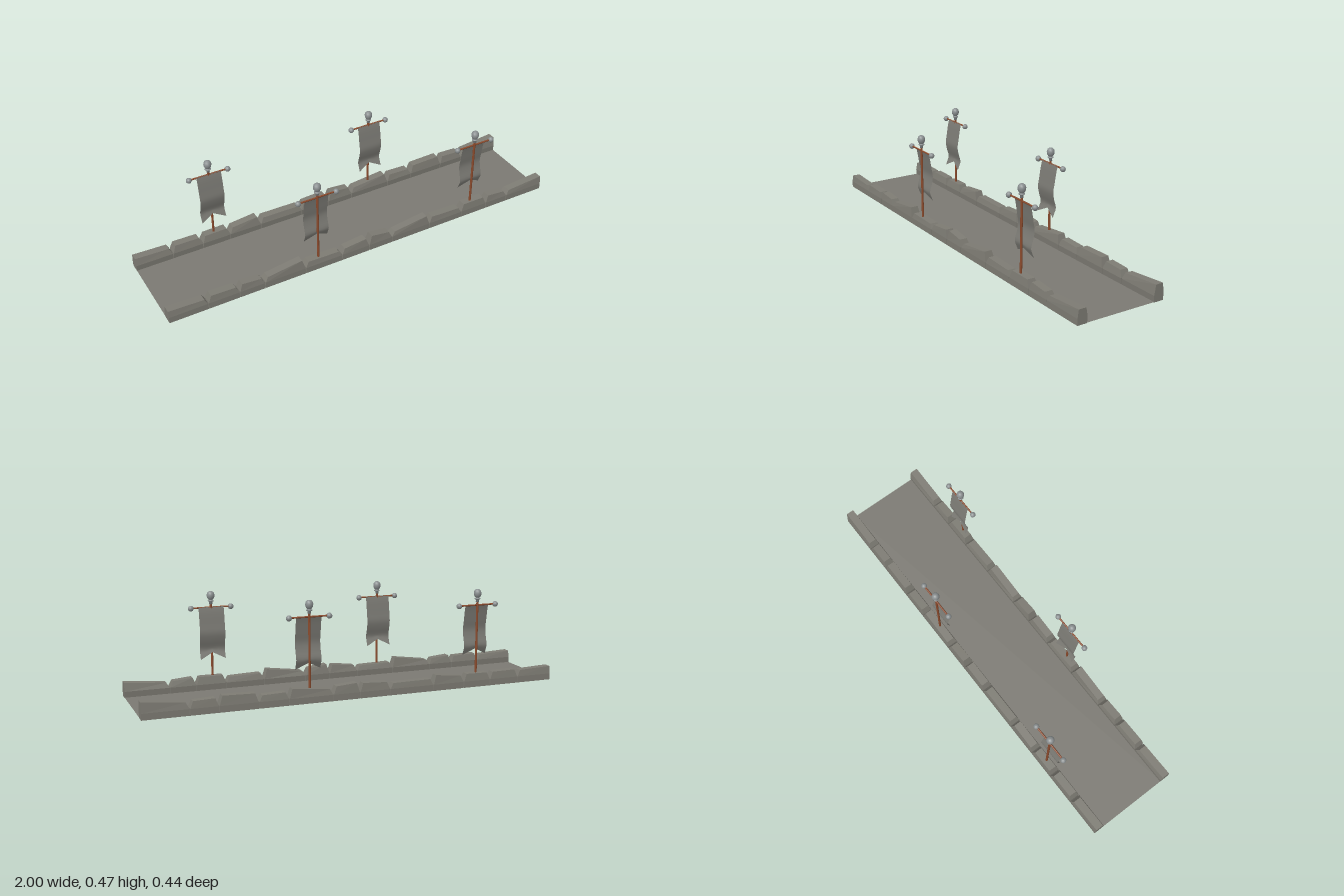
import * as THREE from 'three';

const stone = new THREE.MeshStandardMaterial({ color: 0x7d7b73, flatShading: true });
stone.name = 'stone';
const paving = new THREE.MeshStandardMaterial({ color: 0x7b7972, side: THREE.DoubleSide });
paving.name = 'paving';
const wood = new THREE.MeshStandardMaterial({ color: 0x8a4a2c, flatShading: true });
wood.name = 'wood';
const cloth = new THREE.MeshStandardMaterial({ color: 0x7b7a74, side: THREE.DoubleSide });
cloth.name = 'cloth';
const metal = new THREE.MeshStandardMaterial({ color: 0x8b9091 });
metal.name = 'metal';

function mesh(name, geometry, material, x = 0, y = 0, z = 0) {
  const m = new THREE.Mesh(geometry, material);
  m.name = name;
  m.position.set(x, y, z);
  return m;
}

// Kerb block: straight lower half, tapered upper half, top sloping from hl to hr
function kerbStone(x0, x1, hl, hr, side) {
  const geo = new THREE.BoxGeometry(1, 1, 1, 1, 2, 1);
  const p = geo.attributes.position;
  for (let i = 0; i < p.count; i++) {
    const right = p.getX(i) > 0, outer = p.getZ(i) * side > 0;
    const level = Math.round((p.getY(i) + 0.5) * 2);
    const inset = [0.001, 0.002, 0.016][level];
    const h = right ? hr : hl;
    const y = [0, 0.03, h][level];
    const zIn = [0.174, 0.172, 0.18][level], zOut = [0.222, 0.222, 0.217][level];
    // keep the outer faces of the two end stones upright
    const atEnd = Math.abs(right ? x1 : x0) > 0.99;
    const cut = atEnd ? 0 : inset;
    p.setXYZ(i, right ? x1 - cut : x0 + cut, y, side * (outer ? zOut : zIn));
  }
  geo.computeVertexNormals();
  return mesh('kerbStone', geo, stone);
}

function kerb(name, side, edges, heights) {
  const g = new THREE.Group();
  g.name = name;
  heights.forEach(([hl, hr], i) => g.add(kerbStone(edges[i], edges[i + 1], hl, hr, side)));
  return g;
}

// Hanging cloth with a rippled profile and a V cut at the bottom
function bannerCloth(dir) {
  const ripple = new THREE.CatmullRomCurve3([
    [0.393, 0.003], [0.37, 0.009], [0.31, 0.019], [0.27, 0.025], [0.235, 0.019],
    [0.193, 0.008], [0.172, 0.015], [0.148, 0.025],
  ].map(([y, z]) => new THREE.Vector3(0, y, z * dir)));
  const geo = new THREE.PlaneGeometry(0.12, 1, 4, 20);
  const p = geo.attributes.position;
  for (let i = 0; i < p.count; i++) {
    const t = 0.5 - p.getY(i);
    const notch = 0.13 * (1 - Math.abs(p.getX(i)) / 0.06) * THREE.MathUtils.smoothstep(t, 0.75, 1);
    const q = ripple.getPointAt(t - notch);
    p.setXYZ(i, p.getX(i), q.y, q.z);
  }
  geo.computeVertexNormals();
  return mesh('bannerCloth', geo, cloth);
}

// Finial with collar ring and acorn-shaped head
const finialProfile = [
  [0, 0.404], [0.008, 0.405], [0.007, 0.415], [0.014, 0.419], [0.014, 0.422], [0.007, 0.424],
  [0.012, 0.428], [0.017, 0.437], [0.0185, 0.448], [0.015, 0.459], [0.008, 0.465], [0, 0.466],
].map(([r, y]) => new THREE.Vector2(r, y));

function banner(x, z, dir) {
  const g = new THREE.Group();
  g.name = 'banner';
  g.position.set(x, 0, z);
  g.add(mesh('pole', new THREE.CylinderGeometry(0.0055, 0.0055, 0.385, 8), wood, 0, 0.2225, 0));
  const bar = mesh('crossbar', new THREE.CylinderGeometry(0.004, 0.004, 0.19, 8), wood, 0, 0.39, 0);
  bar.rotation.z = Math.PI / 2;
  g.add(bar);
  for (const s of [-1, 1]) {
    g.add(mesh('crossbarKnob', new THREE.SphereGeometry(0.0135, 12, 8), metal, s * 0.095, 0.389, 0));
  }
  g.add(mesh('finial', new THREE.LatheGeometry(finialProfile, 14), metal));
  g.add(bannerCloth(dir));
  return g;
}

export function createModel() {
  const model = new THREE.Group();
  model.name = 'bannerWalkway';

  // Thin walkway surface
  const floor = mesh('walkway', new THREE.PlaneGeometry(2, 0.352), paving, 0, 0.002, 0);
  floor.rotation.x = -Math.PI / 2;
  model.add(floor);

  // Rows of kerb stones
  model.add(kerb('frontKerb', 1,
    [-1, -0.815, -0.665, -0.54, -0.335, -0.145, 0, 0.125, 0.335, 0.52, 0.665, 0.79, 1],
    [[0.062, 0.055], [0.064, 0.06], [0.066, 0.058], [0.054, 0.078], [0.057, 0.053], [0.058, 0.07],
      [0.075, 0.062], [0.052, 0.076], [0.06, 0.055], [0.066, 0.066], [0.066, 0.058], [0.054, 0.07]]));
  model.add(kerb('backKerb', -1,
    [-1, -0.82, -0.67, -0.53, -0.37, -0.15, 0, 0.13, 0.34, 0.48, 0.66, 0.79, 1],
    [[0.066, 0.06], [0.066, 0.064], [0.064, 0.066], [0.06, 0.074], [0.058, 0.056], [0.064, 0.07],
      [0.074, 0.066], [0.056, 0.074], [0.062, 0.058], [0.07, 0.074], [0.066, 0.062], [0.06, 0.079]]));

  // Banners, cloth hanging on the walkway side
  for (const x of [-0.26, 0.58]) model.add(banner(x, 0.202, -1));
  for (const x of [-0.605, 0.235]) model.add(banner(x, -0.195, 1));
  return model;
}
